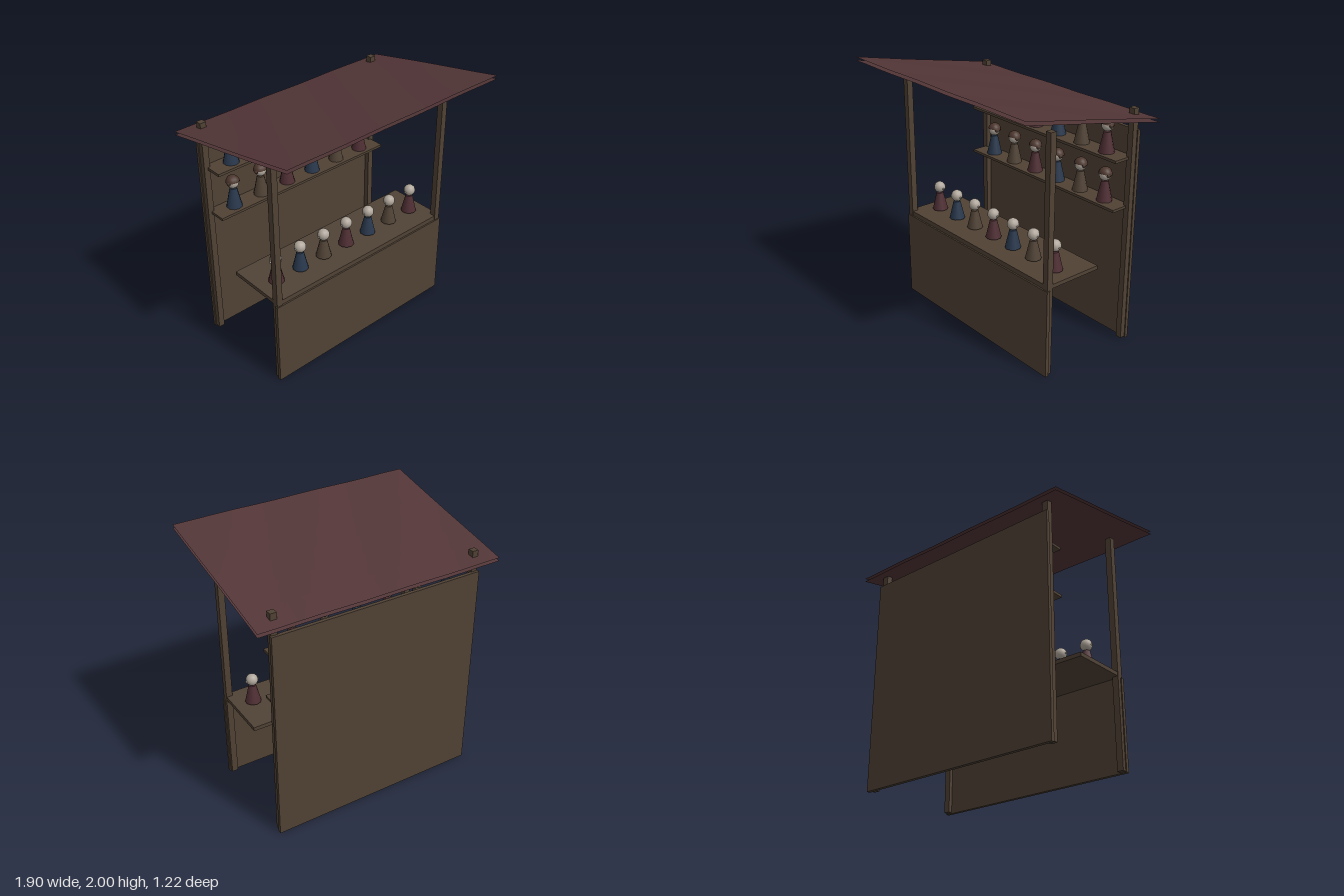
import * as THREE from 'three';

const mat = (name, color, extra = {}) => {
  const m = new THREE.MeshStandardMaterial({ color, ...extra });
  m.name = name;
  return m;
};

export function createModel() {
  const stall = new THREE.Group();
  stall.name = 'dollStall';
  const wood = mat('wood', 0x504235);
  const cloth = mat('awningCloth', 0x523537, { side: THREE.DoubleSide });
  const red = mat('redDress', 0x4e2e33);
  const blue = mat('blueDress', 0x29384d);
  const brown = mat('brownDress', 0x504235);
  const skin = mat('paleHead', 0xb0a79c);
  const hairMat = mat('brownHair', 0x4c362d, { side: THREE.DoubleSide });

  const add = (parent, name, geo, material, x = 0, y = 0, z = 0) => {
    const mesh = new THREE.Mesh(geo, material);
    mesh.name = name;
    mesh.position.set(x, y, z);
    parent.add(mesh);
    return mesh;
  };

  // Box given by its lower and upper limits
  const board = (name, [x0, x1], [y0, y1], [z0, z1]) =>
    add(stall, name, new THREE.BoxGeometry(x1 - x0, y1 - y0, z1 - z0), wood,
      (x0 + x1) / 2, (y0 + y1) / 2, (z0 + z1) / 2);

  // Panels, counter and shelves
  board('frontPanel', [-0.826, 0.826], [0, 0.683], [0.26, 0.287]);
  board('backPanel', [-0.826, 0.826], [0, 1.657], [-0.55, -0.523]);
  board('counter', [-0.816, 0.816], [0.69, 0.72], [-0.199, 0.275]);
  board('counterBatten', [-0.816, 0.816], [0.68, 0.692], [0.262, 0.275]);
  board('lowerShelf', [-0.79, 0.79], [1.07, 1.09], [-0.525, -0.357]);
  board('upperShelf', [-0.79, 0.79], [1.44, 1.46], [-0.525, -0.357]);

  // Corner posts
  for (const s of [-1, 1]) {
    const x = [s * 0.795 - 0.024, s * 0.795 + 0.024];
    board('frontPost', x, [0.008, 1.817], [0.231, 0.279]);
    board('backPost', x, [0.008, 1.817], [-0.53, -0.483]);
  }

  // Sloping awning: two thin, slightly wavy cloth sheets
  for (const [name, top] of [['awningTop', 1.998], ['awningLining', 1.973]]) {
    const geo = new THREE.PlaneGeometry(1.9, 1.215, 12, 6).rotateX(-Math.PI / 2);
    const p = geo.attributes.position;
    for (let i = 0; i < p.count; i++) {
      const x = p.getX(i), z = p.getZ(i);
      p.setY(i, top - 0.245 * (0.6075 - z) / 1.215 + 0.002 * Math.sin(x * 9 + z * 5));
    }
    geo.computeVertexNormals();
    add(stall, name, geo, cloth);
  }

  // Dolls
  const headGeo = new THREE.SphereGeometry(0.045, 12, 9);
  const capGeo = new THREE.SphereGeometry(0.052, 12, 6, 0, Math.PI * 2, 0, Math.PI * 0.5);
  const curlGeo = new THREE.SphereGeometry(0.018, 8, 6);
  const earGeo = new THREE.SphereGeometry(0.008, 6, 4);

  const doll = (dress, x, y, z, height, hair) => {
    const g = new THREE.Group();
    g.name = 'doll';
    g.position.set(x, y, z);
    stall.add(g);
    add(g, 'dress', new THREE.CylinderGeometry(0.027, 0.06, height, 10), dress, 0, height / 2, 0);
    const headY = height + 0.046;
    add(g, 'head', headGeo, skin, 0, headY, 0);
    for (const s of [-1, 1]) {
      if (hair) add(g, 'hairCurl', curlGeo, hairMat, s * 0.037, headY + 0.004, 0.006);
      else add(g, 'ear', earGeo, skin, s * 0.046, headY - 0.006, 0);
    }
    if (hair) {
      const cap = add(g, 'hair', capGeo, hairMat, 0, headY + 0.005, -0.001);
      cap.rotation.x = -0.2;
    }
  };

  const counterDresses = [red, blue, brown];
  for (let i = 0; i < 7; i++) {
    doll(counterDresses[i % 3], -0.666 + i * 0.2235, 0.73, 0.083, 0.14, false);
  }
  const shelfDresses = [blue, brown, red];
  for (const y of [1.09, 1.46]) {
    for (let i = 0; i < 6; i++) {
      doll(shelfDresses[i % 3], -0.62 + i * 0.248, y, -0.44, 0.153, true);
    }
  }
  return stall;
}
